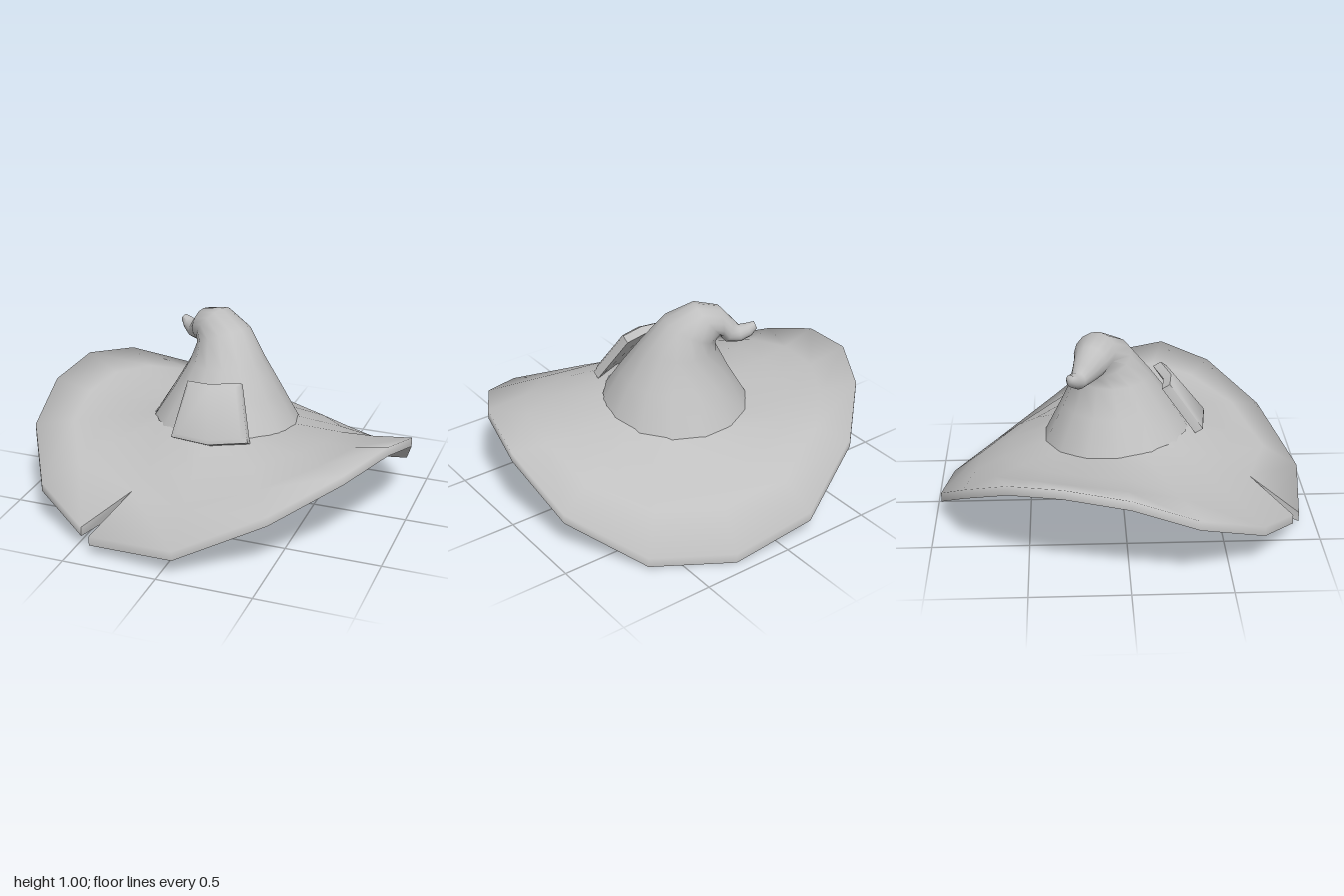
import * as THREE from 'three';
import { mergeVertices, toCreasedNormals } from 'three/addons/utils/BufferGeometryUtils.js';

const felt = new THREE.MeshStandardMaterial({ color: 0xc0c0c0 });
felt.name = 'grey felt';

function meshFrom(name, points, faces, crease) {
  let geo = new THREE.BufferGeometry();
  geo.setAttribute('position', new THREE.Float32BufferAttribute(points.flatMap((p) => p.toArray()), 3));
  geo.setIndex(faces.flat());
  geo = toCreasedNormals(geo, crease);
  const mesh = new THREE.Mesh(geo, felt);
  mesh.name = name;
  return mesh;
}

const V = (x, y, z) => new THREE.Vector3(x, y, z);
const seat = (z) => 0.44 + 0.1 * z; // height where the crown meets the brim

// Wavy brim: soft top rolling over the rim, underside fan and a torn slit at the front
function makeBrim() {
  const rim = [
    [-0.4, 0.105, 0.9], [0.07, 0.145, 0.96], [0.5, 0.33, 0.79], [0.8, 0.48, 0.53], [0.95, 0.54, 0.27],
    [1, 0.46, -0.04], [0.91, 0.23, -0.36], [0.65, 0.06, -0.71], [0.27, 0.05, -0.93], [-0.17, 0.14, -0.97],
    [-0.56, 0.36, -0.82], [-0.8, 0.5, -0.59], [-0.95, 0.55, -0.32], [-1, 0.51, 0], [-0.97, 0.38, 0.33],
    [-0.77, 0.23, 0.67], [-0.46, 0.125, 0.86],
  ].map((p) => V(...p));
  const slit = V(-0.27, 0.26, 0.65);
  const last = rim.length - 1;
  const points = [], topFaces = [], underFaces = [];
  rim.forEach((p, i) => {
    const torn = i === 0 || i === last;
    const d = torn ? slit : p;
    const a = Math.atan2(d.z, d.x);
    const base = V(-0.01 + 0.38 * Math.cos(a), 0, -0.03 + 0.38 * Math.sin(a));
    base.y = seat(base.z);
    const inner = base.clone().lerp(d, torn ? 0.6 : 0.4);
    const outer = torn ? slit : base.clone().lerp(p, 0.68);
    if (!torn) {
      const bend = (p.y > 0.38 ? 0.2 : 0.11) * (0.38 - p.y);
      inner.y += bend;
      outer.y += bend;
    }
    points.push(base, inner, outer, p, V(p.x, p.y - 0.05, p.z));
  });
  const apex = points.push(V(0, 0.255, 0)) - 1;
  for (let i = 0; i < last; i++) {
    const a = i * 5, b = a + 5;
    for (let k = 0; k < 4; k++) {
      topFaces.push([a + k, a + k + 1, b + k + 1], [a + k, b + k + 1, b + k]);
    }
    underFaces.push([apex, b + 4, a + 4]);
  }
  // Slit walls
  const e = last * 5;
  underFaces.push([2, apex, 4], [2, 4, 3], [e + 2, e + 4, apex], [e + 2, e + 3, e + 4]);
  const brim = new THREE.Group();
  brim.name = 'brim';
  brim.add(meshFrom('brimTop', points, topFaces, 2), meshFrom('brimUnderside', points, underFaces, 0.7));
  return brim;
}

// Bent crown: rings swept along a drooping path, curling up at the tip
function makeCrown() {
  const sides = 14;
  const rings = [ // centre, radius, direction
    [V(-0.01, 0.41, -0.035), 0.4, V(0, 1, -0.1)],
    [V(-0.005, 0.6, -0.035), 0.288, V(0, 1, -0.03)],
    [V(-0.015, 0.75, -0.055), 0.2, V(-0.05, 1, -0.02)],
    [V(-0.055, 0.86, -0.105), 0.148, V(-0.38, 0.9, -0.2)],
    [V(-0.13, 0.91, -0.15), 0.112, V(-0.75, 0.6, -0.3)],
    [V(-0.195, 0.882, -0.175), 0.088, V(-0.95, 0.05, -0.4)],
    [V(-0.23, 0.835, -0.21), 0.063, V(-0.85, -0.35, -0.45)],
    [V(-0.275, 0.817, -0.24), 0.045, V(-0.85, 0.1, -0.45)],
    [V(-0.315, 0.836, -0.265), 0.036, V(-0.8, 0.4, -0.4)],
    [V(-0.347, 0.859, -0.28), 0.02, V(-0.8, 0.4, -0.4)],
  ];
  const points = [], faces = [];
  rings.forEach(([c, r, n], j) => {
    const turn = new THREE.Quaternion().setFromUnitVectors(V(0, 1, 0), n.normalize());
    for (let i = 0; i < sides; i++) {
      const t = (i / sides) * Math.PI * 2;
      points.push(V(r * Math.cos(t), 0, r * Math.sin(t)).applyQuaternion(turn).add(c));
      if (j === 0) continue;
      const k = (i + 1) % sides, a = (j - 1) * sides, b = j * sides;
      faces.push([a + i, b + i, b + k], [a + i, b + k, a + k]);
    }
  });
  const tip = points.push(rings[rings.length - 1][0].clone()) - 1;
  const top = (rings.length - 1) * sides;
  for (let i = 0; i < sides; i++) faces.push([top + i, tip, top + ((i + 1) % sides)]);
  return meshFrom('crown', points, faces, 1.3);
}

// Padded patch folded around the front of the crown
function makePatch() {
  const low = [V(-0.15, 0.485, 0.425), V(0.06, 0.485, 0.45), V(0.245, 0.49, 0.37)];
  const high = [V(-0.125, 0.73, 0.25), V(0.0, 0.735, 0.265), V(0.15, 0.745, 0.22)];
  const along = (row, s) => (s < 0.5 ? row[0].clone().lerp(row[1], s * 2) : row[1].clone().lerp(row[2], s * 2 - 1));
  const cols = [0, 0.07, 0.5, 0.93, 1], rows = [0, 0.07, 0.93, 1];
  const inward = V(0, -0.5, -0.85).normalize();
  let geo = new THREE.BoxGeometry(4, 3, 1, 4, 3, 1);
  geo.deleteAttribute('normal');
  geo.deleteAttribute('uv');
  geo = mergeVertices(geo);
  const pos = geo.attributes.position;
  for (let i = 0; i < pos.count; i++) {
    const c = Math.round(pos.getX(i) + 2), r = Math.round(pos.getY(i) + 1.5);
    const p = along(low, cols[c]).lerp(along(high, cols[c]), rows[r]);
    const border = c === 0 || c === 4 || r === 0 || r === 3;
    p.addScaledVector(inward, pos.getZ(i) < 0 ? 0.06 : border ? 0.013 : 0);
    pos.setXYZ(i, p.x, p.y, p.z);
  }
  const mesh = new THREE.Mesh(toCreasedNormals(geo, 0.9), felt);
  mesh.name = 'patch';
  return mesh;
}

export function createModel() {
  const hat = new THREE.Group();
  hat.name = 'pointed hat';
  hat.add(makeBrim(), makeCrown(), makePatch());
  return hat;
}
